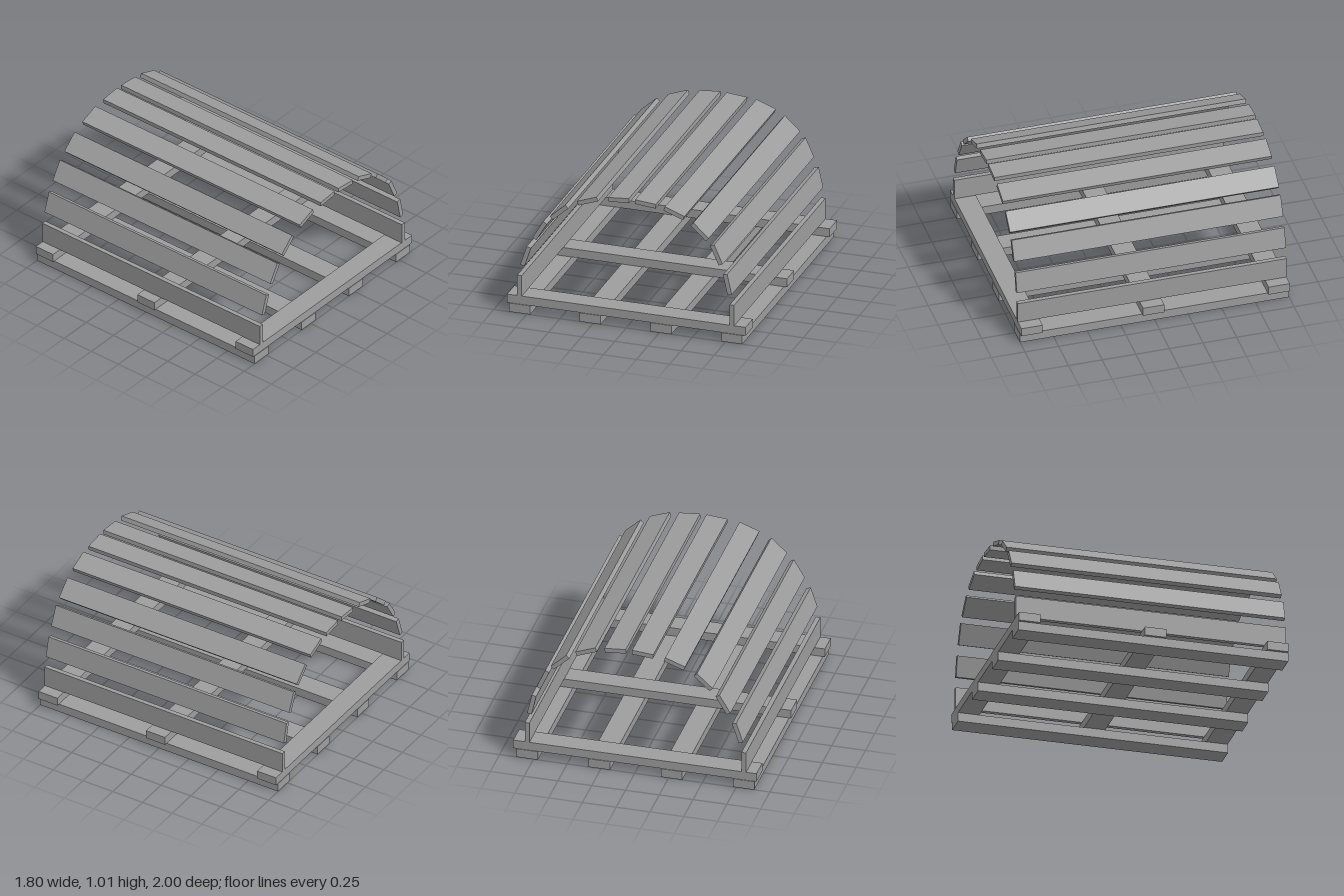
import * as THREE from 'three';

export function createModel() {
  const model = new THREE.Group();
  const material = new THREE.MeshStandardMaterial({ color: 0x9d9d9d, flatShading: true });

  function addBoard(name, size, position, tiltDegrees = 0) {
    const board = new THREE.Mesh(new THREE.BoxGeometry(...size), material);
    board.name = name;
    board.position.set(...position);
    board.rotation.z = THREE.MathUtils.degToRad(tiltDegrees);
    model.add(board);
  }

  // Runners along the ground
  [-0.805, -0.272, 0.262, 0.796].forEach((x, i) =>
    addBoard(`runner${i + 1}`, [0.158, 0.067, 2], [x, 0.0335, 0]));

  // Crossbars resting on the runners, ends set a hair inside them
  [-0.919, 0.014, 0.919].forEach((z, i) =>
    addBoard(`crossbar${i + 1}`, [1.8, 0.065, 0.158], [0, 0.1015, z]));

  // Upright boards along both sides
  addBoard('rightSideBoard', [0.034, 0.16, 2], [-0.806, 0.214, 0]);
  addBoard('leftSideBoard', [0.034, 0.16, 2], [0.797, 0.214, 0]);

  // Spaced slats forming the arch: x, y, tilt in degrees
  const slats = [
    [-0.76, 0.449, 71.5], [-0.653, 0.664, 59], [-0.507, 0.828, 42],
    [-0.293, 0.946, 20], [-0.057, 0.989, 5], [0.144, 0.987, -5],
    [0.36, 0.946, -20.5], [0.553, 0.829, -43], [0.68, 0.667, -66],
    [0.763, 0.448, -77.5],
  ];
  slats.forEach(([x, y, tilt], i) =>
    addBoard(`archSlat${i + 1}`, [0.157, 0.033, 2], [x, y, 0], tilt));

  return model;
}
